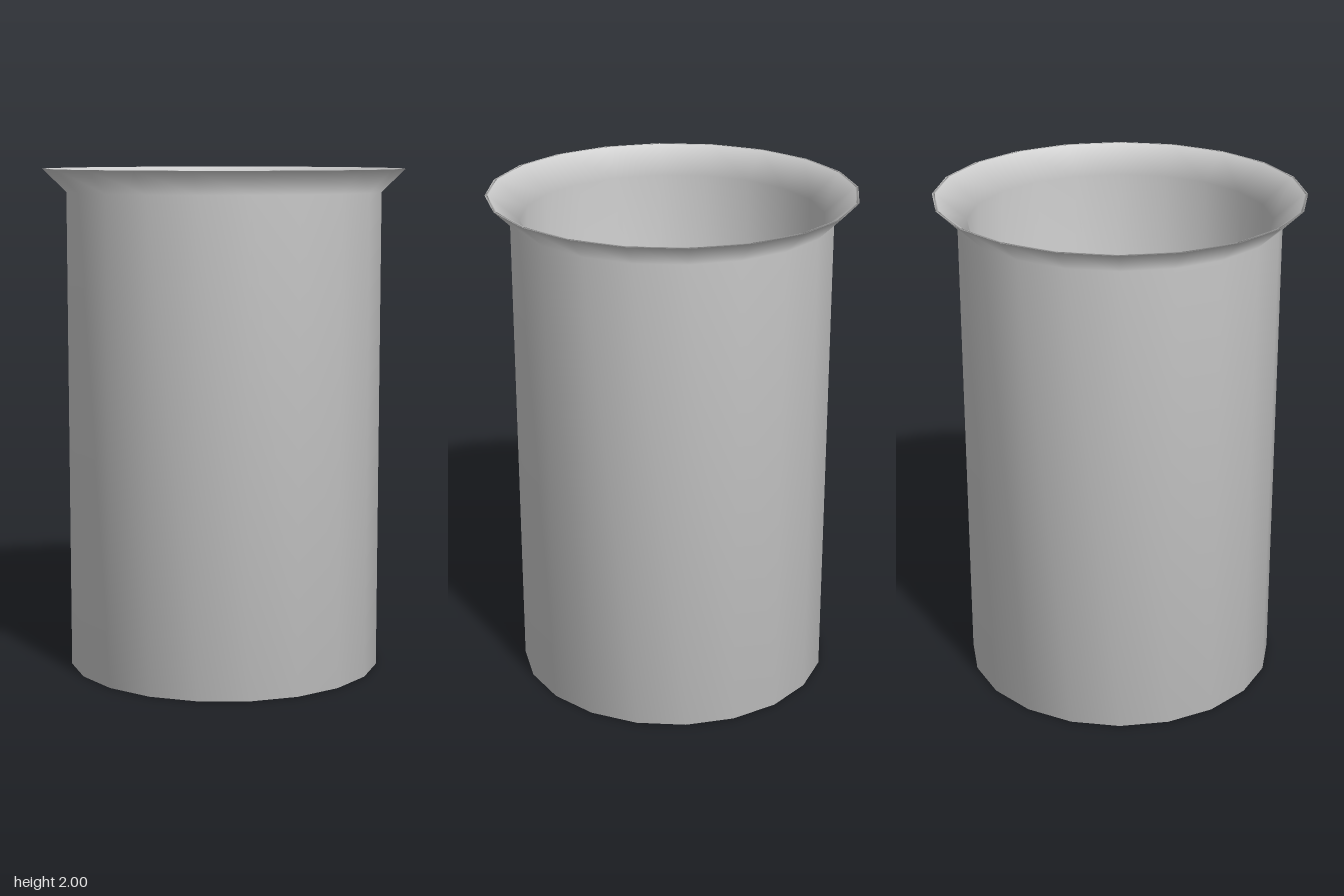
import * as THREE from 'three';
import { mergeVertices } from 'three/addons/utils/BufferGeometryUtils.js';

const SIDES = 20;

// Revolve a profile and weld it so that shading is smooth over every edge
function smoothLathe(profile) {
  const points = profile.map(([r, y]) => new THREE.Vector2(r, y));
  let geometry = new THREE.LatheGeometry(points, SIDES);
  geometry.deleteAttribute('normal');
  geometry.deleteAttribute('uv');
  geometry = mergeVertices(geometry, 1e-4);
  geometry.computeVertexNormals();
  return geometry;
}

export function createModel() {
  const group = new THREE.Group();
  group.name = 'flaredCup';

  // Outside from the base up, over the flared lip, then down the inside
  const cup = new THREE.Mesh(
    smoothLathe([
      [0, 0],
      [0.627, 0],
      [0.627, 1.91],
      [0.72, 2],
      [0.708, 2],
      [0.59, 1.9],
      [0.59, 0.04],
      [0, 0.04],
    ]),
    new THREE.MeshStandardMaterial({ color: 0xcccccc })
  );
  cup.name = 'cupBody';
  group.add(cup);

  return group;
}
